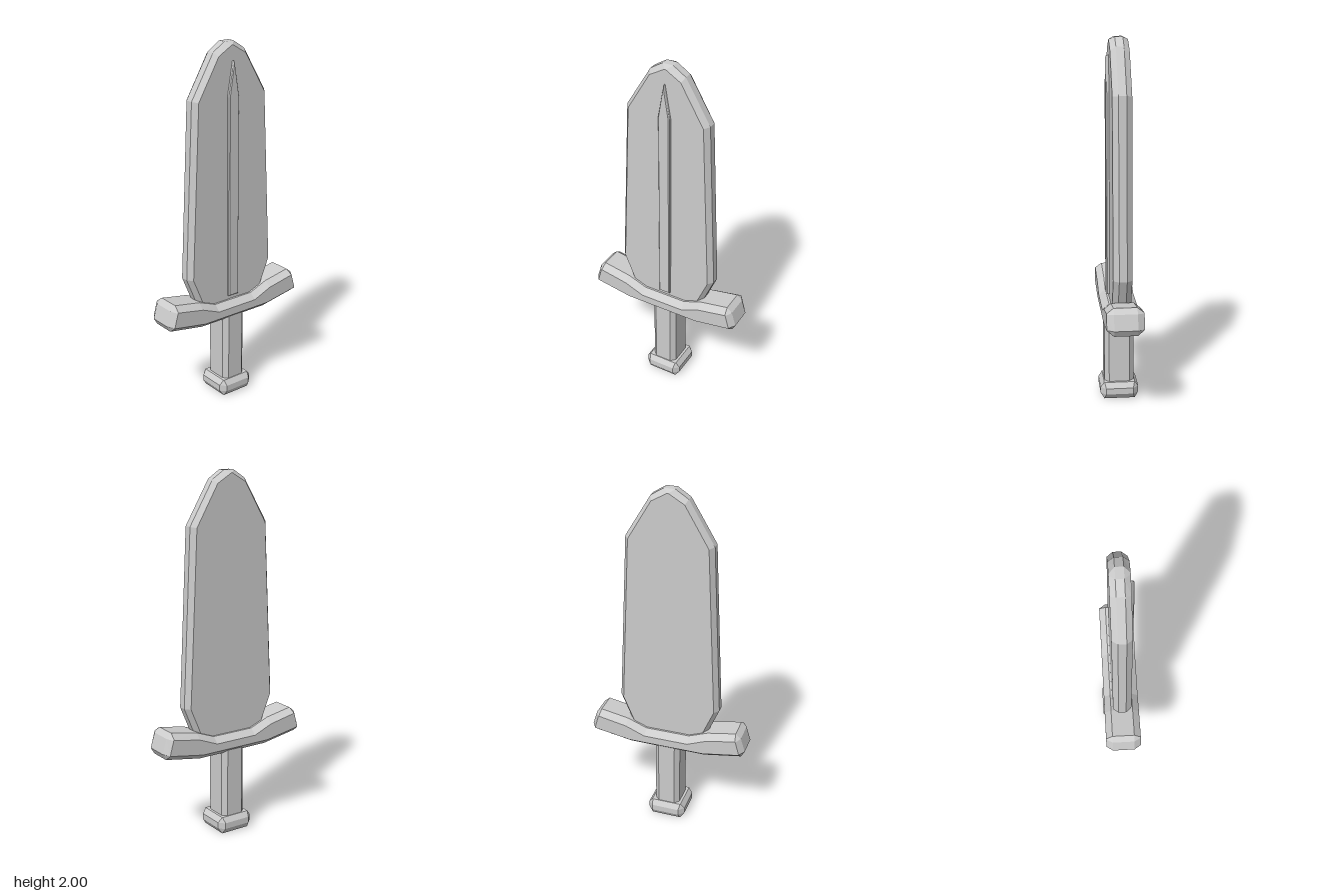
import * as THREE from 'three';

const steel = new THREE.MeshStandardMaterial({ color: 0xcccccc });
steel.name = 'plain grey';

// Mirror a right-hand half outline (bottom to top) into a closed counter-clockwise one
const mirror = (half) => [...half, ...half.map(([x, y]) => [-x, y]).reverse()];

// Rectangle with cut corners, counter-clockwise
function cutRect(w, d, c) {
  return [[w, -d + c], [w, d - c], [w - c, d], [-w + c, d],
    [-w, d - c], [-w, -d + c], [-w + c, -d], [w - c, -d]];
}

// Flat-faced solid through matching outlines, each given as [outline, z], with z rising
function loft(name, sections) {
  const pos = [];
  const put = (s, i) => pos.push(s[0][i][0], s[0][i][1], s[1]);
  const n = sections[0][0].length;
  for (let k = 0; k < sections.length - 1; k++) {
    const a = sections[k], b = sections[k + 1];
    for (let i = 0; i < n; i++) {
      const j = (i + 1) % n;
      put(a, i); put(a, j); put(b, j);
      put(a, i); put(b, j); put(b, i);
    }
  }
  const cap = (s, flip) => {
    const pts = s[0].map(([x, y]) => new THREE.Vector2(x, y));
    for (const [p, q, r] of THREE.ShapeUtils.triangulateShape(pts, [])) {
      put(s, p); put(s, flip ? r : q); put(s, flip ? q : r);
    }
  };
  cap(sections[0], true);
  cap(sections[sections.length - 1], false);
  const geo = new THREE.BufferGeometry();
  geo.setAttribute('position', new THREE.Float32BufferAttribute(pos, 3));
  geo.computeVertexNormals();
  const mesh = new THREE.Mesh(geo, steel);
  mesh.name = name;
  return mesh;
}

// Slab with bevelled front and back edges
const bevelled = (name, edge, face, zEdge, zFace) =>
  loft(name, [[face, -zFace], [edge, -zEdge], [edge, zEdge], [face, zFace]]);

// Same loft stood upright, so sections rise along y
function upright(name, sections) {
  const mesh = loft(name, sections);
  mesh.geometry.rotateX(-Math.PI / 2);
  return mesh;
}

export function createModel() {
  const sword = new THREE.Group();
  sword.name = 'sword';

  // Broad blade, bevelled all round
  sword.add(bevelled('blade',
    mirror([[0.2, 0.54], [0.287, 0.75], [0.24, 1.72], [0.1, 1.955], [0.03, 2]]),
    mirror([[0.175, 0.54], [0.263, 0.75], [0.217, 1.715], [0.088, 1.935], [0.003, 1.985]]),
    0.021, 0.051));

  // Raised rib on the front only
  sword.add(loft('bladeRib', [
    [mirror([[0.033, 0.6], [0.033, 1.72], [0.001, 1.905]]), 0.045],
    [mirror([[0.033, 0.6], [0.033, 1.72], [0.001, 1.905]]), 0.063],
    [mirror([[0.028, 0.605], [0.028, 1.72], [0.001, 1.89]]), 0.069],
  ]));

  // Upswept crossguard
  sword.add(bevelled('crossguard',
    mirror([[0.217, 0.468], [0.43, 0.505], [0.45, 0.54], [0.425, 0.622], [0.395, 0.648], [0.235, 0.618], [0.125, 0.575]]),
    mirror([[0.217, 0.499], [0.425, 0.535], [0.425, 0.538], [0.403, 0.617], [0.4, 0.62], [0.237, 0.588], [0.127, 0.543]]),
    0.062, 0.099));

  // Grip with cut corners
  const grip = cutRect(0.072, 0.082, 0.025);
  sword.add(upright('grip', [[grip, 0.07], [grip, 0.52]]));

  // Chamfered pommel block
  const end = cutRect(0.086, 0.086, 0.002);
  const middle = cutRect(0.108, 0.106, 0.03);
  sword.add(upright('pommel', [[end, 0], [middle, 0.032], [middle, 0.066], [end, 0.095]]));

  return sword;
}
